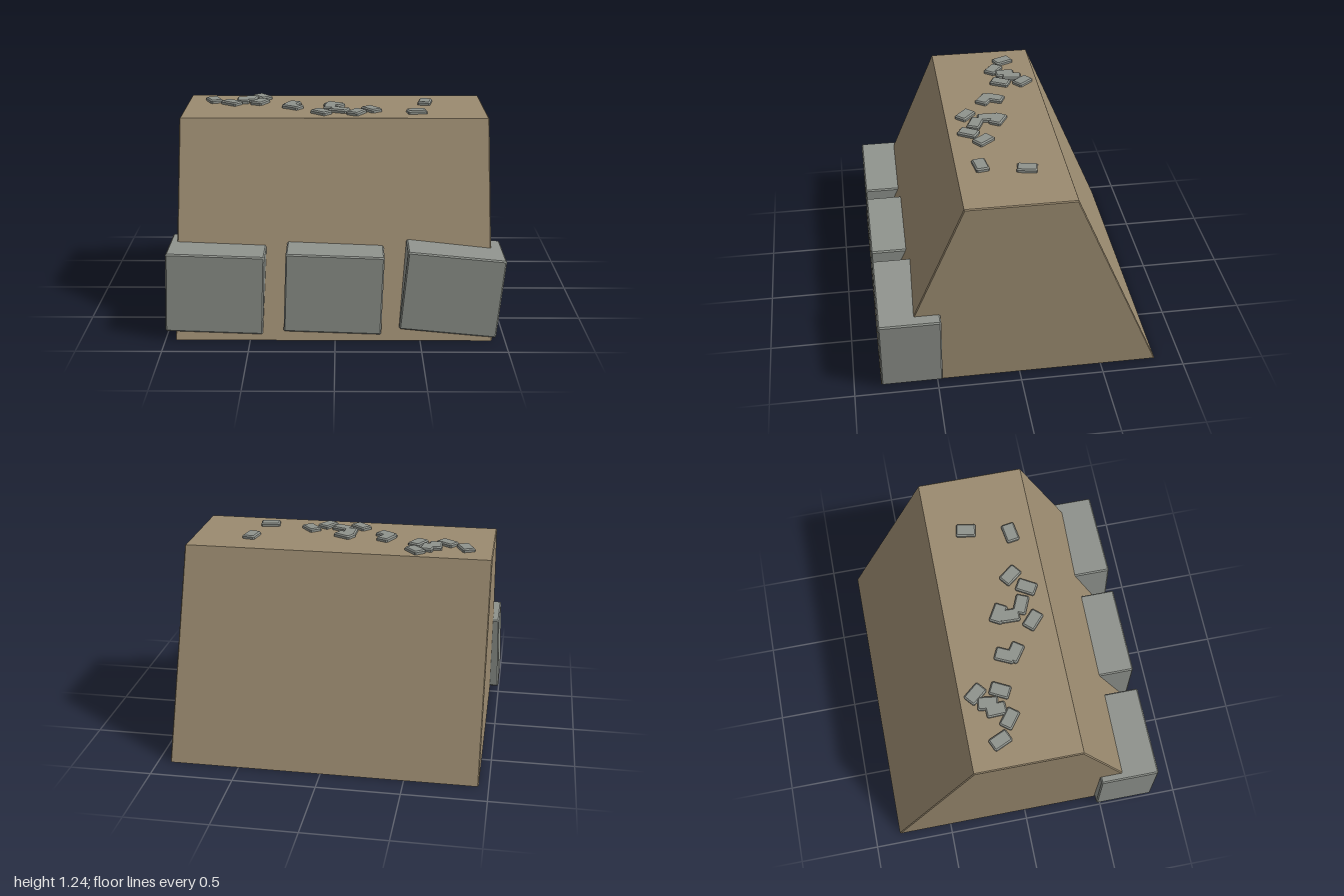
import * as THREE from 'three';

const earth = new THREE.MeshStandardMaterial({ color: 0x9a8a6f });
const stone = new THREE.MeshStandardMaterial({ color: 0x8f938d });

// Prism centred on z with chamfered end faces, kept inside the given outline
function chamferedPrism(points, depth, bevel) {
  const shape = new THREE.Shape(points.map(([x, y]) => new THREE.Vector2(x, y)));
  const geo = new THREE.ExtrudeGeometry(shape, {
    depth: depth - 2 * bevel,
    bevelEnabled: true,
    bevelThickness: bevel,
    bevelSize: bevel,
    bevelOffset: -bevel,
    bevelSegments: 1,
  });
  return geo.translate(0, 0, -depth / 2 + bevel);
}

// Block outline with small cut corners
function blockOutline(w, h, c) {
  const x = w / 2, y = h / 2;
  return [
    [-x + c, -y], [x - c, -y], [x, -y + c], [x, y - c],
    [x - c, y], [-x + c, y], [-x, y - c], [-x, -y + c],
  ];
}

export function createModel() {
  const model = new THREE.Group();
  const add = (name, geo, mat, x, y, z) => {
    const mesh = new THREE.Mesh(geo, mat);
    mesh.name = name;
    mesh.position.set(x, y, z);
    model.add(mesh);
    return mesh;
  };

  // Earth bank: trapezoid section running along x
  const section = [[-0.84, 0], [0.84, 0], [0.32, 1.22], [-0.32, 1.22]];
  const bankGeo = chamferedPrism(section, 1.866, 0.006).rotateY(Math.PI / 2);
  add('earthBank', bankGeo, earth, -0.008, 0, 0);

  // Tilted retaining blocks along the foot of the front slope: x, y, tilt in degrees
  const blockGeo = chamferedPrism(blockOutline(0.574, 0.482, 0.008), 0.366, 0.008);
  [[-0.704, 0.285, -2], [-0.008, 0.285, -2], [0.685, 0.283, -5.5]].forEach(([x, y, tilt], i) => {
    const block = add(`retainingBlock${i + 1}`, blockGeo, stone, x, y, 0.654);
    block.rotation.z = THREE.MathUtils.degToRad(tilt);
  });

  // Loose flat stones on the crest: x, z, heading in degrees
  const stones = [
    [-0.775, -0.135, 66], [-0.658, -0.058, 37], [-0.59, -0.125, 88], [-0.545, -0.165, 98],
    [-0.475, -0.225, 50], [-0.48, -0.08, 117], [-0.275, -0.01, 115], [-0.268, 0.05, 35],
    [-0.01, 0.002, 30], [-0.035, 0.065, 92], [0.022, 0.145, 23], [-0.088, 0.195, 42],
    [0.127, 0.2, 120], [0.22, 0.12, 52], [0.562, -0.088, 100], [0.497, 0.175, -9],
  ];
  const stoneGeo = chamferedPrism(blockOutline(0.12, 0.08, 0.008), 0.04, 0.008).rotateX(-Math.PI / 2);
  stones.forEach(([x, z, heading], i) => {
    const mesh = add(`crestStone${i + 1}`, stoneGeo, stone, x, 1.222, z);
    mesh.rotation.y = -THREE.MathUtils.degToRad(heading);
  });

  return model;
}
